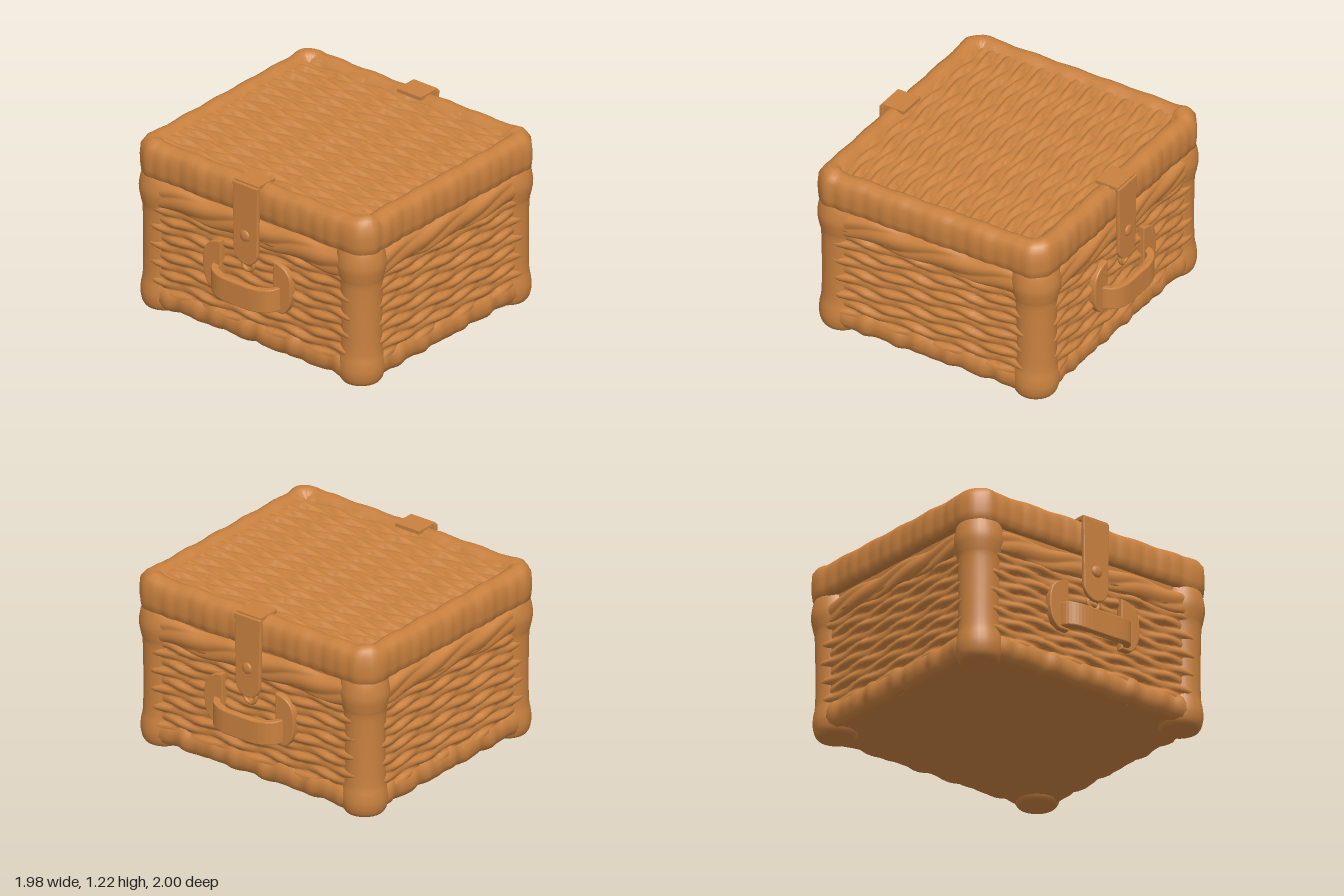
import * as THREE from 'three';

const wicker = new THREE.MeshStandardMaterial({ color: 0xc9813f, side: THREE.DoubleSide });
wicker.name = 'wicker';

const { PI, sin, cos, abs, min, max, floor, sqrt } = Math;
const wave = (s, period, phase = 0) => sin((2 * PI * s) / period + phase);
// stable per-strand variation, -1..1
const vary = (a, b) => { const v = sin(a * 12.99 + b * 78.23) * 43758.5; return 2 * (v - floor(v)) - 1; };

function mesh(name, geometry) {
  const m = new THREE.Mesh(geometry, wicker);
  m.name = name;
  return m;
}

// evenly spaced points with outward normals around a rounded rectangle
function outline(hx, hz, r, step) {
  const out = [];
  const corners = [[1, 1, 0], [-1, 1, 1], [-1, -1, 2], [1, -1, 3]];
  let s = 0;
  for (const [sx, sz, q] of corners) {
    const cx = sx * (hx - r), cz = sz * (hz - r);
    for (let i = 0; i < 10; i++) {
      const a = (q + i / 10) * PI / 2;
      out.push({ x: cx + r * cos(a), z: cz + r * sin(a), nx: cos(a), nz: sin(a), s });
      s += (r * PI / 2) / 10;
    }
    const a = (q + 1) * PI / 2, nx = cos(a), nz = sin(a);
    const len = 2 * (q % 2 ? hz - r : hx - r), n = Math.ceil(len / step);
    for (let i = 0; i < n; i++) {
      const d = (len * i) / n;
      out.push({ x: cx + r * nx - nz * d, z: cz + r * nz + nx * d, nx, nz, s: s + d });
    }
    s += len;
  }
  for (const p of out) {
    const t = min(abs(p.x) / hx, abs(p.z) / hz);
    p.corner = THREE.MathUtils.smoothstep(t, 0.78, 0.9);
  }
  return out;
}

// sweep a profile of [outset, y] around a rounded rectangle; bump gives [outset, lift]
function ring(name, hx, hz, r, step, profile, bump) {
  const pts = outline(hx, hz, r, step), n = pts.length, pos = [], idx = [];
  profile.forEach(([o, y], j) => {
    for (const p of pts) {
      const [d, lift] = bump(p, y, j);
      pos.push(p.x + p.nx * (o + d), y + lift, p.z + p.nz * (o + d));
    }
  });
  for (let j = 0; j < profile.length - 1; j++) {
    for (let i = 0; i < n; i++) {
      const a = j * n + i, b = j * n + ((i + 1) % n);
      idx.push(a, a + n, b, b, a + n, b + n);
    }
  }
  const g = new THREE.BufferGeometry();
  g.setAttribute('position', new THREE.Float32BufferAttribute(pos, 3));
  g.setIndex(idx);
  g.computeVertexNormals();
  return mesh(name, g);
}

// height of a woven strand: arched across, going over and under the stakes along
function weave(along, across, pitch, stake) {
  const row = floor(across / pitch), f = across / pitch - row;
  const over = cos((PI * along) / stake + row * PI);
  return sqrt(max(0, sin(PI * f))) * (0.024 + 0.013 * over + 0.004 * vary(row, floor(along / stake)));
}

// flat plate from a shape, lying in xy with soft edges
function plate(name, shape, depth) {
  return mesh(name, new THREE.ExtrudeGeometry(shape, {
    depth, bevelEnabled: true, bevelSize: 0.008, bevelThickness: 0.008, bevelSegments: 2, curveSegments: 12,
  }));
}

function makeLidTop() {
  const g = new THREE.PlaneGeometry(1.76, 1.6, 100, 150);
  g.rotateX(-PI / 2);
  const p = g.attributes.position;
  for (let i = 0; i < p.count; i++) {
    const x = p.getX(i), z = p.getZ(i);
    const sway = 0.008 * sin((PI * x) / 0.19);
    p.setY(i, 1.148 + weave(x, z + sway + 0.8, 0.064, 0.19));
  }
  g.computeVertexNormals();
  return mesh('lidTop', g);
}

// clasp strap, stud and handle for one end
function makeFittings() {
  const g = new THREE.Group();

  const strap = new THREE.Shape();
  strap.moveTo(-0.1, 1.19);
  strap.lineTo(-0.092, 0.72);
  strap.absarc(0, 0.72, 0.092, PI, 2 * PI, false);
  strap.lineTo(0.1, 1.19);
  const front = plate('strap', strap, 0.012);
  front.position.z = 0.893;
  const top = mesh('strapTop', new THREE.BoxGeometry(0.2, 0.025, 0.17));
  top.position.set(0, 1.197, 0.815);
  const stud = mesh('strapStud', new THREE.SphereGeometry(0.04, 16, 10));
  stud.scale.z = 0.4;
  stud.position.set(0, 0.83, 0.915);
  const staple = mesh('staple', new THREE.TorusGeometry(0.045, 0.014, 8, 16));
  staple.position.set(0, 0.615, 0.88);
  g.add(front, top, stud, staple);

  // curved grip band, seen from above as a shallow bow
  const bow = new THREE.Shape();
  bow.moveTo(-0.28, 0.84);
  bow.bezierCurveTo(-0.28, 0.95, -0.22, 0.99, -0.1, 0.992);
  bow.lineTo(0.1, 0.992);
  bow.bezierCurveTo(0.22, 0.99, 0.28, 0.95, 0.28, 0.84);
  bow.lineTo(0.25, 0.84);
  bow.bezierCurveTo(0.25, 0.93, 0.2, 0.95, 0.1, 0.955);
  bow.lineTo(-0.1, 0.955);
  bow.bezierCurveTo(-0.2, 0.95, -0.25, 0.93, -0.25, 0.84);
  const grip = plate('handleGrip', bow, 0.15);
  grip.geometry.rotateX(PI / 2);
  const p = grip.geometry.attributes.position;
  for (let i = 0; i < p.count; i++) {
    p.setY(i, p.getY(i) + 0.508 + 0.3 * p.getX(i) ** 2);
  }
  grip.geometry.computeVertexNormals();
  g.add(grip);

  // crescent mounts holding the grip
  for (const s of [-1, 1]) {
    const m = new THREE.Shape();
    m.moveTo(s * 0.225, 0.36);
    m.lineTo(s * 0.29, 0.36);
    m.bezierCurveTo(s * 0.34, 0.38, s * 0.365, 0.45, s * 0.36, 0.55);
    m.bezierCurveTo(s * 0.36, 0.64, s * 0.32, 0.69, s * 0.225, 0.7);
    const mount = plate('handleMount', m, 0.035);
    mount.position.z = 0.855;
    g.add(mount);
  }
  return g;
}

export function createModel() {
  const model = new THREE.Group();
  model.name = 'wickerBasket';

  // woven walls
  const rows = [];
  for (let i = 0; i <= 60; i++) rows.push([0, 0.16 + i * 0.0108]);
  model.add(ring('wovenWalls', 0.925, 0.84, 0.13, 0.025, rows, (p, y) => {
    const sway = 0.008 * wave(p.s, 0.4);
    return [weave(p.s, y + sway, 0.065, 0.2), 0];
  }));

  // wrapped base rim
  const base = [[-0.12, 0.035], [-0.05, 0.02], [-0.01, 0.045], [0.012, 0.09], [0.01, 0.14], [-0.005, 0.18], [-0.03, 0.2]];
  model.add(ring('baseRim', 0.95, 0.862, 0.13, 0.025, base, (p) =>
    [0.006 * wave(p.s, 0.21) + 0.004 * wave(p.s, 0.13), 0.006 * wave(p.s, 0.3)]));

  // twisted braid below the lid
  const braid = [];
  for (let i = 0; i <= 16; i++) {
    const t = i / 16;
    braid.push([0.022 * sqrt(sin(PI * t) + 1e-6) - 0.03 * t ** 8, 0.765 + 0.17 * t]);
  }
  model.add(ring('upperBraid', 0.93, 0.85, 0.13, 0.025, braid, (p, y) =>
    [0.012 * abs(wave(p.s, 1.0, y * 28)), 0.01 * wave(p.s, 0.5)]));

  // recessed groove under the lid
  model.add(ring('lidGroove', 0.905, 0.82, 0.13, 0.2, [[0, 0.9], [0, 1.0]], () => [0, 0]));

  // wrapped lid rim
  const rim = [[-0.12, 0.97], [-0.03, 0.955], [-0.006, 0.97], [0, 1.02], [0.002, 1.08], [-0.004, 1.14],
    [-0.025, 1.18], [-0.06, 1.2], [-0.1, 1.197], [-0.13, 1.18], [-0.155, 1.14]];
  model.add(ring('lidRim', 0.978, 0.884, 0.165, 0.018, rim, (p, y, j) => {
    const wrap = 0.007 * abs(wave(p.s, 0.22)) + 0.004 * wave(p.s, 0.35);
    const outer = j < 6 ? 1 : 0.3;
    return [(wrap - 0.004 + 0.012 * p.corner) * outer, j > 4 ? 0.004 * wave(p.s, 0.3) + 0.012 * p.corner : 0];
  }));
  model.add(makeLidTop());

  // rounded corner posts
  const post = [[0.001, 0.02], [0.1, 0], [0.138, 0.025], [0.154, 0.09], [0.15, 0.16], [0.138, 0.24], [0.136, 0.45],
    [0.14, 0.7], [0.152, 0.77], [0.165, 0.85], [0.155, 0.93], [0.14, 0.98]];
  const curve = new THREE.SplineCurve(post.map(([x, y]) => new THREE.Vector2(x, y)));
  for (const sx of [-1, 1]) {
    for (const sz of [-1, 1]) {
      const m = mesh('cornerPost', new THREE.LatheGeometry(curve.getPoints(36), 28));
      m.position.set(sx * 0.825, 0, sz * 0.735);
      model.add(m);
    }
  }

  // flat floor
  const floorPanel = mesh('floor', new THREE.BoxGeometry(1.76, 0.02, 1.6));
  floorPanel.position.y = 0.04;
  model.add(floorPanel);

  // matching straps and handles front and back
  const front = makeFittings();
  front.name = 'frontFittings';
  const back = makeFittings();
  back.name = 'backFittings';
  back.rotation.y = PI;
  model.add(front, back);
  return model;
}
